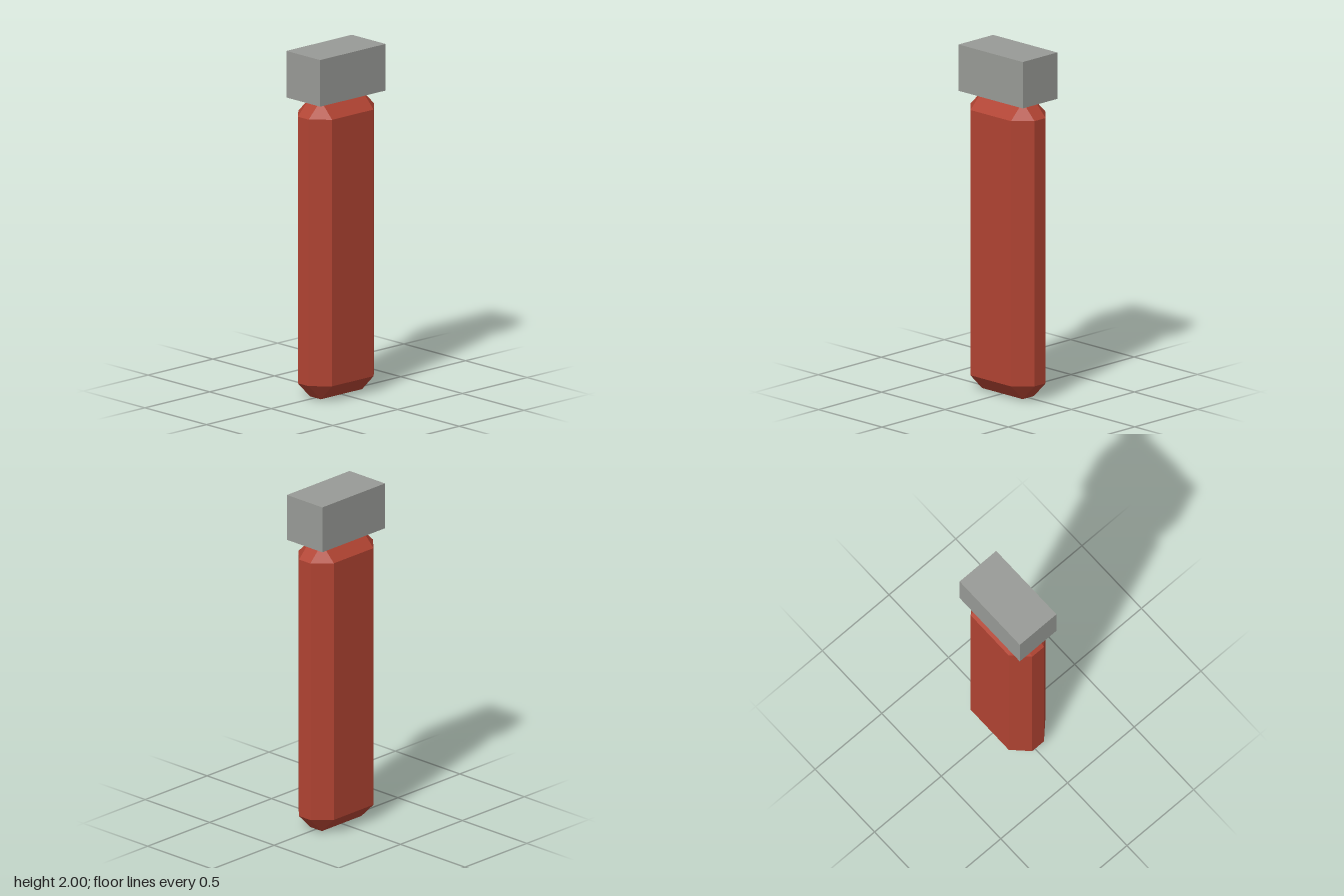
import * as THREE from 'three';
import { ConvexGeometry } from 'three/addons/geometries/ConvexGeometry.js';

const W = 0.253, D = 0.137, BODY_H = 1.73, CAP_H = 0.27, BEVEL = 0.093;

// Box with every edge cut at 45 degrees and triangular corners
function chamferedBox(hx, hy, hz, c) {
  const points = [];
  for (const x of [-1, 1]) for (const y of [-1, 1]) for (const z of [-1, 1]) {
    points.push(
      new THREE.Vector3(x * hx, y * (hy - c), z * (hz - c)),
      new THREE.Vector3(x * (hx - c), y * hy, z * (hz - c)),
      new THREE.Vector3(x * (hx - c), y * (hy - c), z * hz)
    );
  }
  return new ConvexGeometry(points);
}

export function createModel() {
  const red = new THREE.MeshStandardMaterial({ color: 0xb04332 });
  red.name = 'brick red';
  const grey = new THREE.MeshStandardMaterial({ color: 0x989a96 });
  grey.name = 'metal grey';

  const group = new THREE.Group();
  group.name = 'cappedStick';

  // Long bevelled body
  const body = new THREE.Mesh(chamferedBox(W, BODY_H / 2, D, BEVEL), red);
  body.name = 'body';
  body.position.y = BODY_H / 2;

  // Plain rectangular cap
  const cap = new THREE.Mesh(new THREE.BoxGeometry(2 * W, CAP_H, 2 * D), grey);
  cap.name = 'cap';
  cap.position.y = BODY_H + CAP_H / 2;

  group.add(body, cap);
  return group;
}
